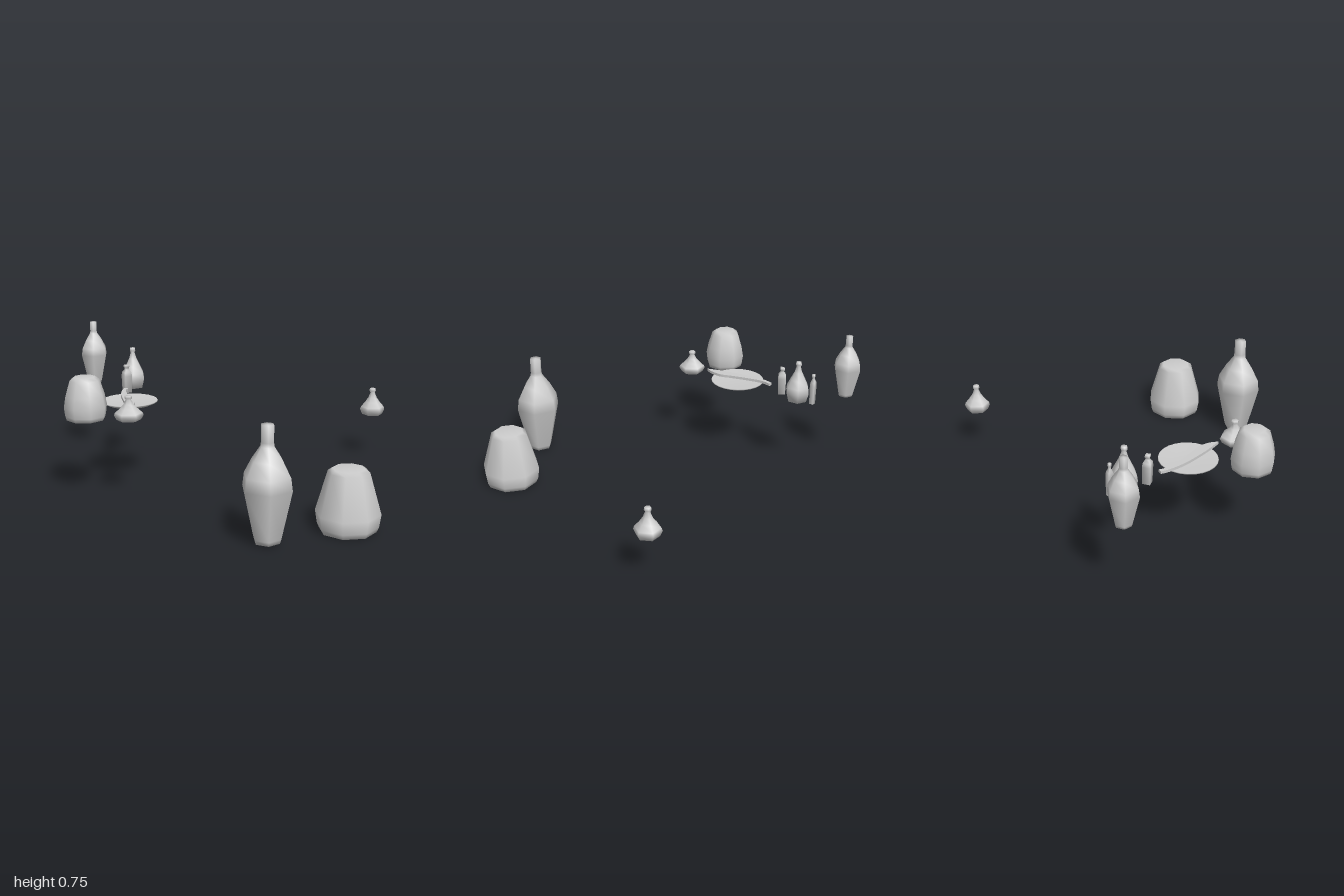
import * as THREE from 'three';

const material = new THREE.MeshStandardMaterial({ color: 0xcccccc, side: THREE.DoubleSide });

// Closed low-poly vessel: profile of [radius, y] from the base up, turned by a few degrees
function vessel(name, profile, sides, x, y, z, turn = 0, scale = 1) {
  const pts = [[0, profile[0][1]], ...profile, [0, profile[profile.length - 1][1]]];
  const geo = new THREE.LatheGeometry(pts.map(([r, h]) => new THREE.Vector2(r, h)), sides);
  const mesh = new THREE.Mesh(geo, material);
  mesh.name = name;
  mesh.position.set(x, y, z);
  mesh.rotation.y = THREE.MathUtils.degToRad(turn);
  mesh.scale.setScalar(scale);
  return mesh;
}

const bottle = [[0.062, 0], [0.068, 0.02], [0.12, 0.25], [0.112, 0.31], [0.075, 0.38], [0.034, 0.44], [0.031, 0.46], [0.031, 0.54]];
const bigPot = [[0.133, 0], [0.144, 0.025], [0.153, 0.085], [0.097, 0.28], [0.076, 0.295]];
const smallPot = [[0.096, 0], [0.102, 0.02], [0.108, 0.065], [0.098, 0.12], [0.075, 0.195], [0.052, 0.212]];
const onion = [[0.056, 0], [0.068, 0.028], [0.063, 0.043], [0.04, 0.07], [0.023, 0.095], [0.012, 0.123], [0.018, 0.132], [0.016, 0.146]];
const squatOnion = onion.map(([r, h]) => [r * 1.06, h * 0.82]);
const flask = [[0.054, 0], [0.067, 0.05], [0.062, 0.08], [0.042, 0.12], [0.022, 0.16], [0.011, 0.195], [0.017, 0.203], [0.015, 0.218]];
const vial = [[0.026, 0], [0.029, 0.09], [0.026, 0.11], [0.012, 0.125], [0.012, 0.135], [0.016, 0.138], [0.015, 0.15]];

// Curved blade lying flat across the dish
function createBlade() {
  const shape = new THREE.Shape();
  shape.moveTo(-0.535, 0.417);
  shape.lineTo(-0.522, 0.402);
  shape.splineThru([[-0.48, 0.44], [-0.4, 0.472], [-0.315, 0.499], [-0.257, 0.515], [-0.21, 0.55], [-0.181, 0.592]]
    .map(([x, z]) => new THREE.Vector2(x, z)));
  shape.splineThru([[-0.262, 0.568], [-0.342, 0.537], [-0.42, 0.502], [-0.495, 0.455], [-0.535, 0.417]]
    .map(([x, z]) => new THREE.Vector2(x, z)));
  const geo = new THREE.ExtrudeGeometry(shape, { depth: 0.014, bevelEnabled: false, curveSegments: 12 });
  geo.rotateX(Math.PI / 2);
  geo.translate(0, 0.449, 0);
  const mesh = new THREE.Mesh(geo, material);
  mesh.name = 'blade';
  return mesh;
}

// Shallow dish with a thin rim
function createDish() {
  const profile = [[0.07, 0], [0.115, 0.01], [0.144, 0.024], [0.142, 0.028], [0.08, 0.02]];
  return vessel('dish', profile, 24, -0.35, 0.405, 0.492);
}

export function createModel() {
  const group = new THREE.Group();
  group.name = 'potteryCollection';
  group.add(
    // Floor-level pair
    vessel('largeBottle', bottle, 6, 0.763, 0.007, 0.452),
    vessel('largePot', bigPot, 8, 0.85, 0, 0.055, -5),
    // Raised vessels
    vessel('smallBottle', bottle, 6, -0.932, 0.405, 0.378, -2, 0.63),
    vessel('smallPot', smallPot, 8, -0.276, 0.397, 0.783, -14),
    vessel('backOnionFlask', onion, 6, 0.049, 0.238, -0.828, 25),
    vessel('frontOnionFlask', squatOnion, 6, -0.093, 0.41, 0.646, 30),
    vessel('tallFlask', flask, 6, -0.667, 0.412, 0.285),
    vessel('rightVial', vial, 4, -0.588, 0.41, 0.37, 45)
  );
  const slimVial = vessel('leftVial', vial, 4, -0.745, 0.41, 0.245, 12);
  slimVial.scale.set(0.63, 1.12, 0.63);
  group.add(slimVial, createDish(), createBlade());
  return group;
}
